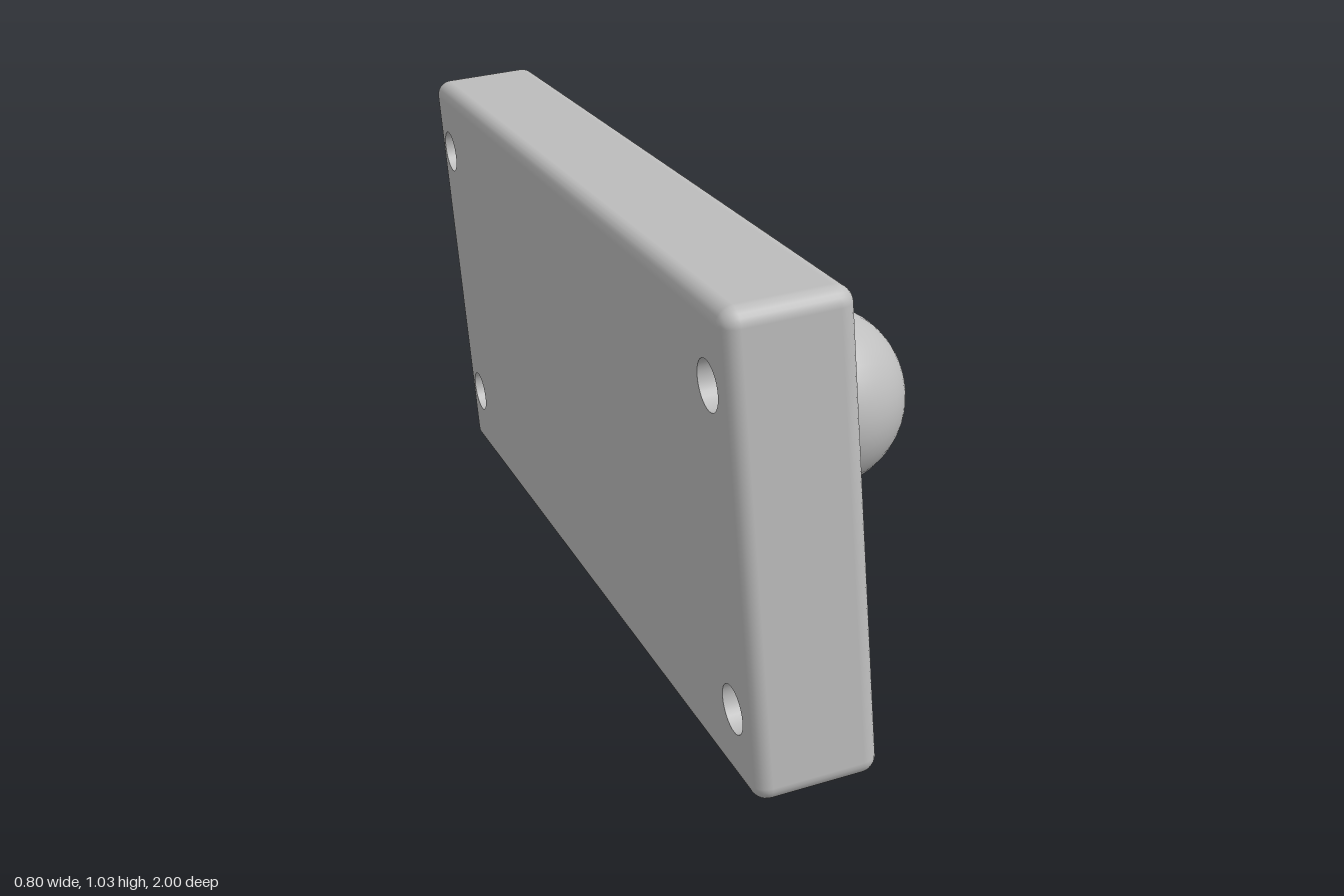
import * as THREE from 'three';
import { mergeGeometries } from 'three/addons/utils/BufferGeometryUtils.js';

const LENGTH = 1.982, HEIGHT = 0.99, THICK = 0.257, ROUND = 0.035;
const HOLE_X = 0.895, HOLE_Y = 0.33, HOLE_R = 0.05;
const DOME_X = 0.311, DOME_R = 0.2, DOME_CENTRE = 0.315;
const holes = [[1, 1], [-1, 1], [-1, -1], [1, -1]].map(([a, b]) => [a * HOLE_X, b * HOLE_Y]);

// Rounded rim of the plate: stacked rounded-rectangle loops
function rimGeometry() {
  const steps = 6, pos = [], nor = [], idx = [];
  const corners = [[1, 1], [-1, 1], [-1, -1], [1, -1]];
  const loopSize = 4 * (steps + 1), loops = 2 * (steps + 1);
  for (let i = 0; i < loops; i++) {
    const side = i <= steps ? -1 : 1;
    const k = side < 0 ? i - steps : i - steps - 1;
    const a = (k / steps) * Math.PI / 2;
    corners.forEach(([sx, sy], c) => {
      for (let j = 0; j <= steps; j++) {
        const t = (c + j / steps) * Math.PI / 2;
        const n = [Math.cos(a) * Math.cos(t), Math.cos(a) * Math.sin(t), Math.sin(a)];
        nor.push(...n);
        pos.push(
          sx * (LENGTH / 2 - ROUND) + ROUND * n[0],
          sy * (HEIGHT / 2 - ROUND) + ROUND * n[1],
          side * (THICK / 2 - ROUND) + ROUND * n[2]);
      }
    });
  }
  for (let i = 0; i < loops - 1; i++) {
    for (let j = 0; j < loopSize; j++) {
      const j2 = (j + 1) % loopSize;
      const a = i * loopSize + j, b = i * loopSize + j2;
      idx.push(a, b, b + loopSize, a, b + loopSize, a + loopSize);
    }
  }
  const g = new THREE.BufferGeometry();
  g.setAttribute('position', new THREE.Float32BufferAttribute(pos, 3));
  g.setAttribute('normal', new THREE.Float32BufferAttribute(nor, 3));
  g.setIndex(idx);
  return g;
}

// Flat face of the plate with four drilled holes
function faceGeometry() {
  const x = LENGTH / 2 - ROUND, y = HEIGHT / 2 - ROUND;
  const shape = new THREE.Shape([[-x, -y], [x, -y], [x, y], [-x, y]].map(p => new THREE.Vector2(...p)));
  for (const [hx, hy] of holes) {
    shape.holes.push(new THREE.Path().absarc(hx, hy, HOLE_R, 0, Math.PI * 2, true));
  }
  return new THREE.ShapeGeometry(shape, 16).translate(0, 0, THICK / 2);
}

// Inward-facing wall of one hole
function holeGeometry([x, y]) {
  const wall = [new THREE.Vector2(HOLE_R, THICK / 2), new THREE.Vector2(HOLE_R, -THICK / 2)];
  return new THREE.LatheGeometry(wall, 32).rotateX(Math.PI / 2).translate(x, y, 0);
}

// Round post ending in a hemisphere
function domeGeometry() {
  const profile = [new THREE.Vector2(DOME_R, THICK / 2 - 0.01)];
  for (let i = 0; i <= 16; i++) {
    const a = (i / 16) * Math.PI / 2;
    profile.push(new THREE.Vector2(i === 16 ? 0 : DOME_R * Math.cos(a), DOME_CENTRE + DOME_R * Math.sin(a)));
  }
  return new THREE.LatheGeometry(profile, 40).rotateX(Math.PI / 2);
}

export function createModel() {
  const grey = new THREE.MeshStandardMaterial({ color: 0xbebebe, side: THREE.DoubleSide });
  grey.name = 'plain grey';

  const body = new THREE.Group();
  body.name = 'tiltedBody';

  // Plate
  const parts = [rimGeometry(), faceGeometry(), faceGeometry().rotateY(Math.PI), ...holes.map(holeGeometry)];
  parts.forEach(g => g.deleteAttribute('uv'));
  const plate = new THREE.Mesh(mergeGeometries(parts), grey);
  plate.name = 'drilledPlate';
  body.add(plate);

  // Two domed posts
  for (const s of [-1, 1]) {
    const dome = new THREE.Mesh(domeGeometry(), grey);
    dome.name = s < 0 ? 'frontDomedPost' : 'rearDomedPost';
    dome.position.x = s * DOME_X;
    body.add(dome);
  }

  // Slight lean: the plate's length runs along z, its posts point to +x
  const along = new THREE.Vector3(-0.097, -0.0175, -0.995).normalize();
  const out = along.clone().cross(new THREE.Vector3(-0.075, 0.997, -0.0107)).normalize();
  const up = out.clone().cross(along);
  body.quaternion.setFromRotationMatrix(new THREE.Matrix4().makeBasis(along, up, out));
  body.position.set(-0.145, 0.5175, 0);

  const model = new THREE.Group();
  model.name = 'domedPlate';
  model.add(body);
  return model;
}
